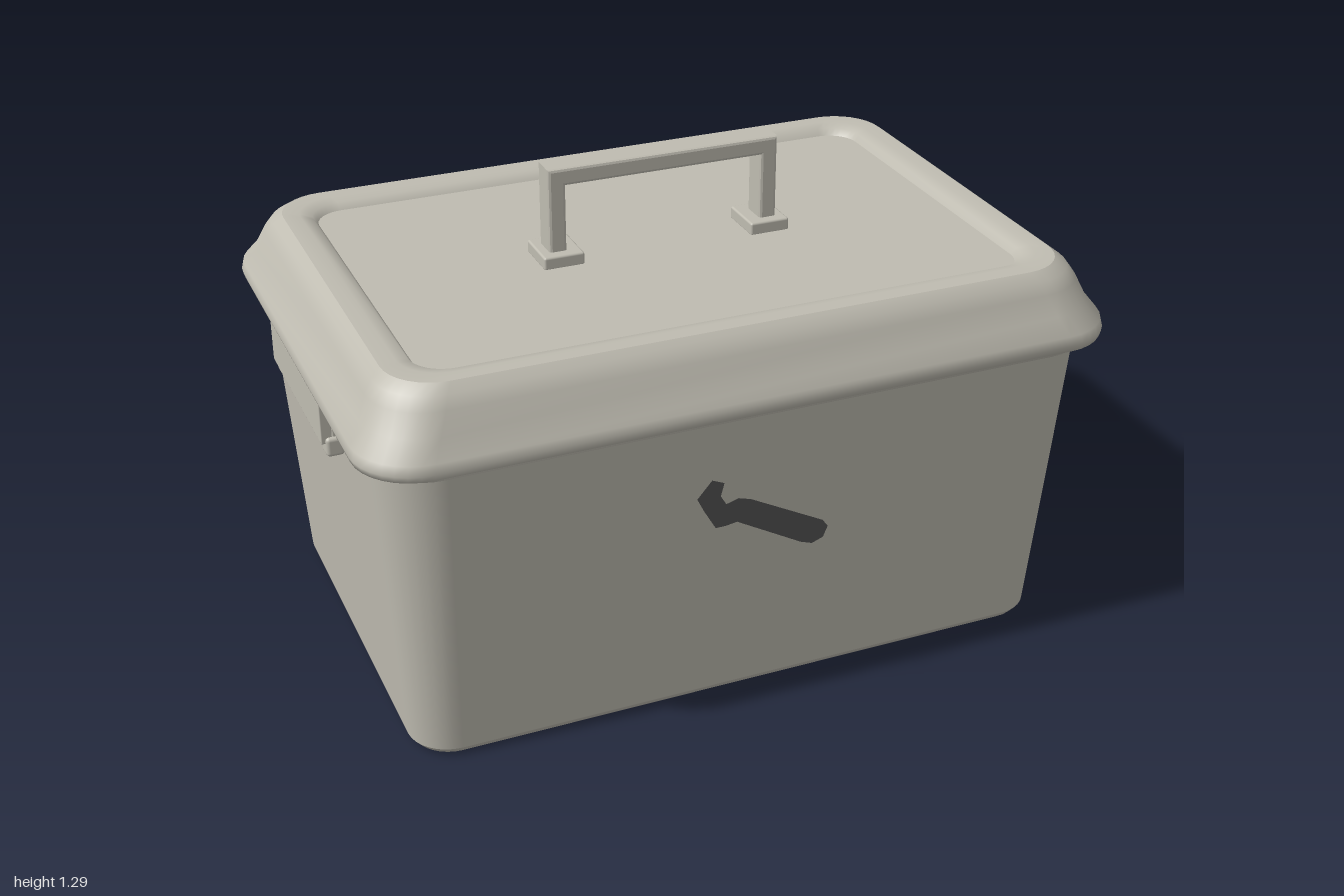
import * as THREE from 'three';
import { mergeGeometries } from 'three/addons/utils/BufferGeometryUtils.js';
import { RoundedBoxGeometry } from 'three/addons/geometries/RoundedBoxGeometry.js';

const CORNER = 8; // segments per rounded corner

// Rounded-rectangle cross-section: half width, half depth, corner radius, height
function ring([hx, hz, r, y]) {
  const pts = [];
  for (let q = 0; q < 4; q++) {
    const sx = q === 0 || q === 3 ? 1 : -1;
    const sz = q < 2 ? 1 : -1;
    for (let i = 0; i <= CORNER; i++) {
      const t = (q + i / CORNER) * Math.PI / 2;
      pts.push(sx * (hx - r) + r * Math.cos(t), y, sz * (hz - r) + r * Math.sin(t));
    }
  }
  return pts;
}

// Smooth skin through the rings of one section
function skin(rings) {
  const n = 4 * (CORNER + 1);
  const index = [];
  for (let i = 0; i < rings.length - 1; i++) {
    for (let j = 0; j < n; j++) {
      const a = i * n + j, b = i * n + (j + 1) % n;
      index.push(a, a + n, b, b, a + n, b + n);
    }
  }
  const g = new THREE.BufferGeometry();
  g.setAttribute('position', new THREE.Float32BufferAttribute(rings.flatMap(ring), 3));
  g.setIndex(index);
  g.computeVertexNormals();
  return g;
}

// Several sections joined with sharp edges between them
const loft = (...sections) => mergeGeometries(sections.map(skin));

export function createModel() {
  const model = new THREE.Group();
  model.name = 'toolbox';
  const plastic = new THREE.MeshStandardMaterial({ color: 0xbfbcb1, side: THREE.DoubleSide });
  plastic.name = 'warm grey plastic';
  const dark = new THREE.MeshStandardMaterial({ color: 0x555555 });
  dark.name = 'dark grey';

  const add = (name, geometry, x = 0, y = 0, z = 0, material = plastic) => {
    const mesh = new THREE.Mesh(geometry, material);
    mesh.name = name;
    mesh.position.set(x, y, z);
    model.add(mesh);
    return mesh;
  };
  const box = (name, w, h, d, x, y, z, r = 0.006) =>
    add(name, new RoundedBoxGeometry(w, h, d, 2, r), x, y, z);

  const zc = -0.005;

  // Tapered body, open underneath, with an inner wall
  add('body', loft(
    [[0.86, 0.56, 0.09, 0.02], [0.86, 0.56, 0.09, 0], [0.873, 0.573, 0.1, 0], [0.888, 0.588, 0.11, 0.02]],
    [[0.888, 0.588, 0.11, 0.02], [0.946, 0.652, 0.15, 0.84]],
    [[0.946, 0.652, 0.15, 0.84], [0.957, 0.664, 0.15, 0.842], [0.957, 0.664, 0.15, 0.862]],
    [[0.925, 0.63, 0.14, 0.86], [0.86, 0.56, 0.09, 0.02]],
  ), 0, 0, zc);

  // Lid: rolled lip, sloping shoulder, rounded rim and sunken top panel
  add('lid', loft(
    [[0.92, 0.625, 0.14, 0.858], [0.975, 0.68, 0.15, 0.858]],
    [[0.975, 0.68, 0.15, 0.858], [0.995, 0.7, 0.155, 0.868], [1, 0.705, 0.16, 0.885],
      [0.995, 0.7, 0.16, 0.91], [0.962, 0.668, 0.15, 0.955], [0.94, 0.645, 0.15, 1.01],
      [0.92, 0.625, 0.14, 1.04], [0.893, 0.6, 0.13, 1.06]],
    [[0.893, 0.6, 0.13, 1.06], [0.85, 0.56, 0.11, 1.06], [0.818, 0.53, 0.09, 1.053], [0.805, 0.515, 0.08, 1.035]],
    [[0.805, 0.515, 0.08, 1.035], [0, 0, 0, 1.035]],
  ), 0, 0, zc);

  // Tool tray inside
  add('innerTray', loft(
    [[0.46, 0.42, 0.08, 0.62], [0.56, 0.52, 0.11, 0.61], [0.6, 0.56, 0.12, 0.64], [0.62, 0.59, 0.12, 0.84]],
  ), 0, 0, zc);
  add('trayFloor', skin([[0, 0, 0, 0.7], [0.48, 0.44, 0.08, 0.7]]), 0, 0, zc);

  // Square carrying handle
  const arch = new THREE.Shape([
    [-0.312, 1.04], [-0.312, 1.284], [0.312, 1.284], [0.312, 1.04],
    [0.28, 1.04], [0.28, 1.252], [-0.28, 1.252], [-0.28, 1.04],
  ].map(([x, y]) => new THREE.Vector2(x, y)));
  add('handle', new THREE.ExtrudeGeometry(arch, {
    depth: 0.06, bevelThickness: 0.008, bevelSize: 0.008, bevelSegments: 2,
  }), 0, 0, zc - 0.03);

  for (const s of [-1, 1]) {
    box('handleFoot', 0.11, 0.036, 0.134, s * 0.29, 1.049, zc);
    // Side latch: plate with two hooks
    box('latchPlate', 0.028, 0.112, 0.5, s * 0.982, 0.816, zc, 0.003);
    for (const k of [-1, 1]) {
      box('latchHook', 0.046, 0.052, 0.05, s * 0.963, 0.751, zc + k * 0.235, 0.01);
      box('latchStem', 0.02, 0.11, 0.03, s * 0.958, 0.8, zc + k * 0.235, 0.004);
    }
  }

  // Hammer emblem, a thin face leaning with the front wall
  const hammer = new THREE.ShapeGeometry(new THREE.Shape([
    [-0.2, 0.68], [-0.163, 0.727], [-0.13, 0.712], [-0.138, 0.675], [-0.122, 0.648],
    [-0.09, 0.658], [-0.056, 0.647], [0.147, 0.535], [0.163, 0.513], [0.152, 0.482],
    [0.122, 0.47], [0.09, 0.482], [-0.09, 0.588], [-0.12, 0.583], [-0.147, 0.583], [-0.18, 0.64],
  ].map(([x, y]) => new THREE.Vector2(x, y))));
  const p = hammer.attributes.position;
  for (let i = 0; i < p.count; i++) p.setZ(i, 0.695 + (p.getY(i) - 0.47) * 0.08);
  hammer.computeVertexNormals();
  add('hammerEmblem', hammer, 0, 0, 0, dark);

  return model;
}
